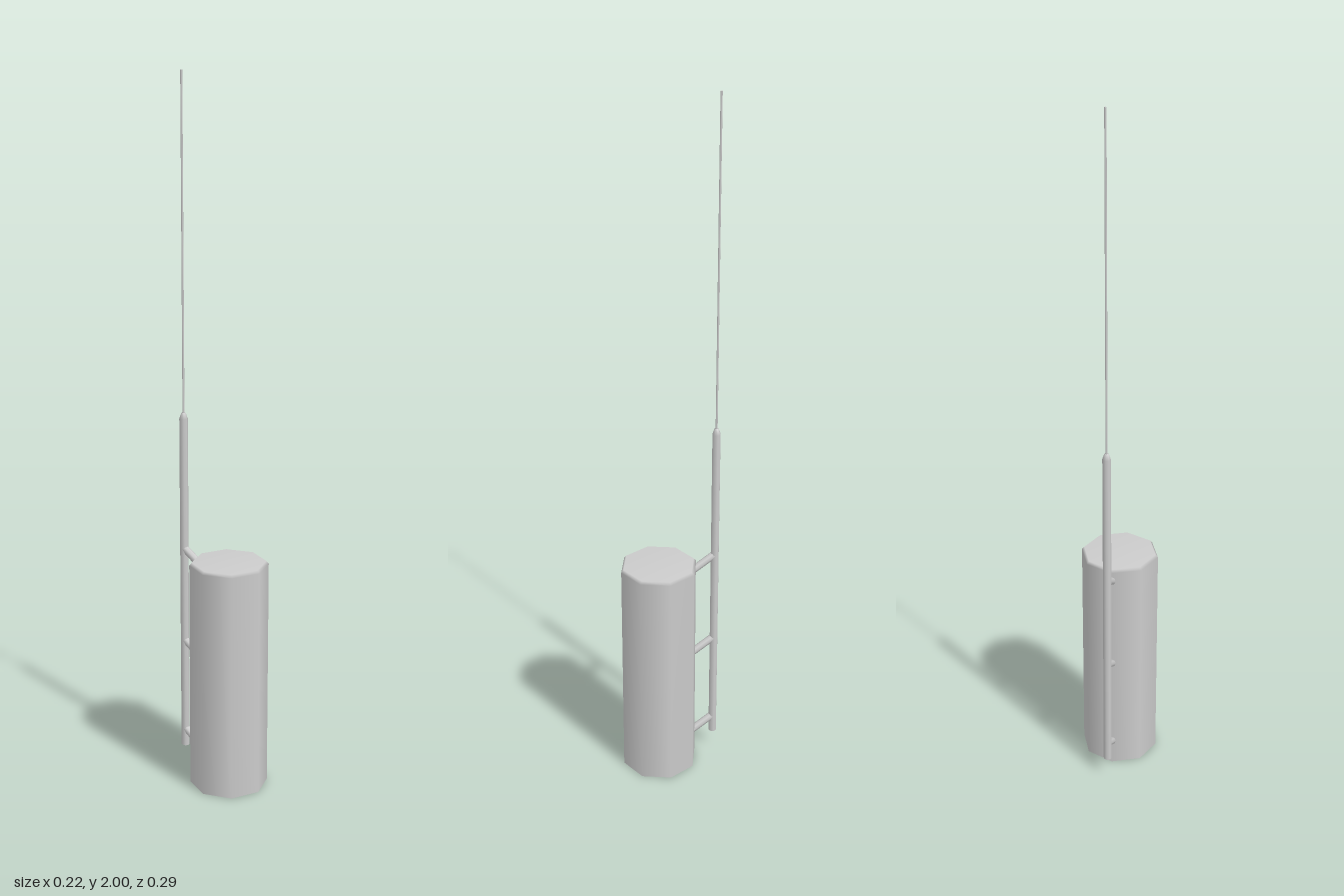
import * as THREE from 'three';

const material = new THREE.MeshStandardMaterial({ color: 0xcccccc, side: THREE.DoubleSide });

function add(group, name, geometry, x, y, z) {
  const mesh = new THREE.Mesh(geometry, material);
  mesh.name = name;
  mesh.position.set(x, y, z);
  group.add(mesh);
  return mesh;
}

function lathe(profile, sides) {
  return new THREE.LatheGeometry(profile.map(([r, y]) => new THREE.Vector2(r, y)), sides);
}

export function createModel() {
  const group = new THREE.Group();
  const rodZ = -0.134;

  // Eight-sided canister, open underneath, with a narrow bevel round its lid
  add(group, 'canister', lathe([[0.111, 0], [0.111, 0.664], [0.104, 0.672], [0, 0.672]], 8), 0, 0, 0.034);

  // Mounting rod with a tapered tip
  add(group, 'rod', lathe([[0, 0.06], [0.012, 0.06], [0.012, 1.055], [0.006, 1.072], [0, 1.072]], 8), 0, 0, rodZ);

  // Thin aerial wire
  add(group, 'aerial', new THREE.CylinderGeometry(0.003, 0.003, 0.94, 6), 0, 1.53, rodZ);

  // Slanted struts joining the canister to the rod
  const up = new THREE.Vector3(0, 1, 0);
  for (const y of [0.072, 0.352, 0.632]) {
    const start = new THREE.Vector3(0, y, -0.066);
    const end = new THREE.Vector3(0, y + 0.042, rodZ);
    const span = end.clone().sub(start);
    const middle = start.clone().add(end).multiplyScalar(0.5);
    const strut = add(group, 'strut', new THREE.CylinderGeometry(0.011, 0.011, span.length(), 8), middle.x, middle.y, middle.z);
    strut.quaternion.setFromUnitVectors(up, span.normalize());
  }

  return group;
}
